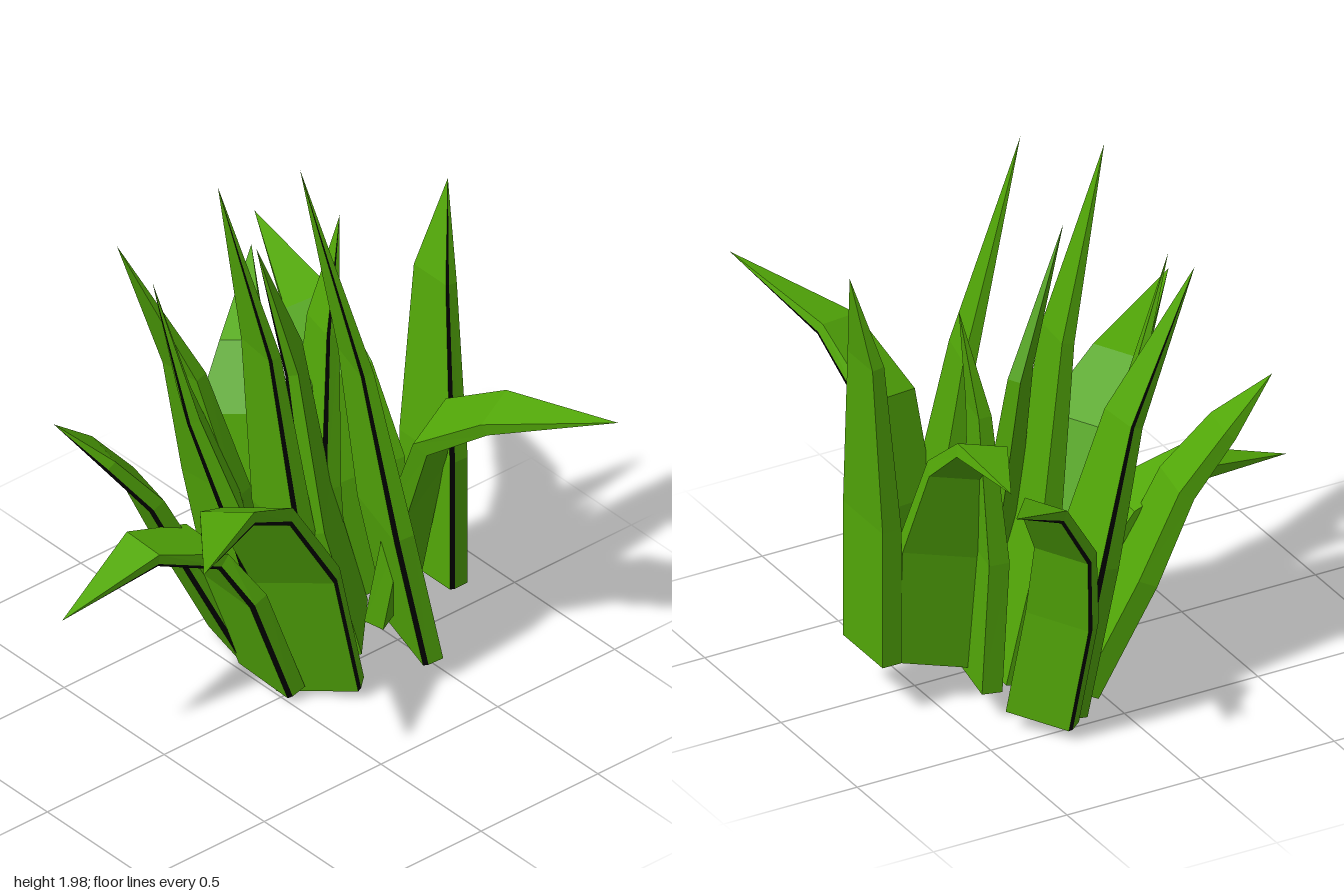
import * as THREE from 'three';

const leafGreen = new THREE.MeshStandardMaterial({ color: 0x52a708 });
leafGreen.name = 'leafGreen';
const edgeBlack = new THREE.MeshStandardMaterial({ color: 0x000000 });
edgeBlack.name = 'edgeBlack';

const V = (a) => new THREE.Vector3(...a);
const SLOPE = 0.2; // the whole plant rises towards +x

// Thick leaf: rectangular cross-sections along a spine, ending in a point.
// side is the [x, z] direction of the leaf's width; it points to the dark edge.
function bladeGeometry(spine, side, width, taper, thickness = 0.07) {
  const pts = spine.map(V);
  const s = new THREE.Vector3(side[0], SLOPE * side[0], side[1]).normalize();
  const last = pts.length - 1;

  const rings = pts.map((p, i) => {
    const k = i === last ? 0 : taper[i];
    const tangent = pts[Math.min(i + 1, last)].clone().sub(p).normalize();
    if (i > 0) tangent.add(p.clone().sub(pts[i - 1]).normalize()).normalize();
    const n = tangent.cross(s).normalize();
    const w = (width / 2) * k, t = (thickness / 2) * k;
    return [[w, t], [-w, t], [-w, -t], [w - 0.007 * k, -t], [w, -t + 0.016 * k]].map(([u, v]) =>
      p.clone().addScaledVector(s, u).addScaledVector(n, v));
  });

  const green = [], black = [];
  const push = (list, ...verts) => verts.forEach((v) => list.push(v.x, v.y, v.z));
  for (let i = 0; i < last; i++) {
    for (let j = 0; j < 5; j++) {
      const k = (j + 1) % 5;
      const list = j === 3 ? black : green; // narrow dark bevel on one edge
      push(list, rings[i][j], rings[i][k], rings[i + 1][k]);
      if (i < last - 1) push(list, rings[i][j], rings[i + 1][k], rings[i + 1][j]);
    }
  }
  // Flat foot
  for (let j = 1; j < 4; j++) push(green, rings[0][0], rings[0][j + 1], rings[0][j]);

  const geo = new THREE.BufferGeometry();
  geo.setAttribute('position', new THREE.Float32BufferAttribute([...green, ...black], 3));
  geo.addGroup(0, green.length / 3, 0);
  geo.addGroup(green.length / 3, black.length / 3, 1);
  geo.computeVertexNormals();
  return geo;
}

const DROOP = [1, 1, 0.85, 0.65];
const UPRIGHT = [1, 1, 0.63];

// Leaves that arch outwards: spine points, width direction, width
const arching = {
  frontLeaf: [[[0.48, 0.18, 0.0], [0.51, 0.65, 0.08], [0.485, 0.97, 0.21], [0.53, 1.14, 0.46], [0.69, 1.25, 0.88]], [0.93, -0.36], 0.27],
  backLeaf: [[[0.49, 0.16, -0.12], [0.505, 0.6, -0.17], [0.48, 0.93, -0.27], [0.51, 1.1, -0.46], [0.64, 1.18, -0.88]], [-0.95, -0.3], 0.26],
  frontRightLeaf: [[[0.125, 0.03, 0.05], [0.03, 0.5, 0.04], [-0.13, 0.8, 0.03], [-0.34, 0.94, 0.13], [-0.69, 1.03, 0.42]], [0.62, 0.78], 0.28],
  rightLeaf: [[[0.03, 0.04, -0.08], [-0.09, 0.43, -0.13], [-0.18, 0.59, -0.18], [-0.42, 0.68, -0.2], [-0.8, 0.59, -0.16]], [-0.03, 1], 0.26],
  backRightLeaf: [[[0.06, 0.05, -0.3], [-0.12, 0.45, -0.37], [-0.26, 0.74, -0.39], [-0.41, 0.93, -0.43], [-0.57, 1.1, -0.47]], [-0.2, 0.98], 0.24],
  backLeftLeaf: [[[0.29, 0.06, -0.47], [0.25, 0.45, -0.53], [0.26, 0.72, -0.57], [0.37, 0.92, -0.62], [0.61, 1.07, -0.86]], [-0.62, -0.78], 0.23],
};

// Leaves that stand upright
const upright = {
  leftLeaf: [[[0.67, 0.2, -0.02], [0.67, 0.7, -0.02], [0.725, 1.32, -0.075], [0.8, 1.65, -0.1]], [0, 1], 0.26],
  tallFrontLeaf: [[[0.47, 0.09, 0.12], [0.38, 0.6, 0.08], [0.32, 1.2, 0.0], [0.15, 1.99, -0.08]], [-0.25, 0.97], 0.28],
  innerFrontLeaf: [[[0.34, 0.11, -0.03], [0.24, 0.6, -0.1], [0.2, 1.17, -0.17], [0.04, 1.68, -0.17]], [-0.7, 0.7], 0.26],
  tallMiddleLeaf: [[[0.25, 0.06, -0.12], [0.13, 0.6, -0.14], [0.06, 1.28, -0.17], [-0.09, 1.96, -0.21]], [-0.1, 0.99], 0.26],
  innerRightLeaf: [[[0.13, 0.05, -0.17], [0.01, 0.6, -0.24], [-0.12, 1.05, -0.32], [-0.25, 1.58, -0.35]], [-0.5, 0.87], 0.28],
  innerBackLeaf: [[[0.2, 0.06, -0.41], [0.1, 0.6, -0.44], [-0.02, 1.08, -0.46], [-0.24, 1.62, -0.54]], [-0.08, -1], 0.25],
  innerLeftLeaf: [[[0.38, 0.11, -0.23], [0.37, 0.6, -0.26], [0.42, 1.15, -0.28], [0.5, 1.54, -0.29]], [-0.2, 0.98], 0.22],
};

export function createModel() {
  const plant = new THREE.Group();
  plant.name = 'plant';
  for (const [leaves, taper] of [[arching, DROOP], [upright, UPRIGHT]]) {
    for (const [name, [spine, side, width]] of Object.entries(leaves)) {
      const mesh = new THREE.Mesh(bladeGeometry(spine, side, width, taper), [leafGreen, edgeBlack]);
      mesh.name = name;
      plant.add(mesh);
    }
  }
  return plant;
}
